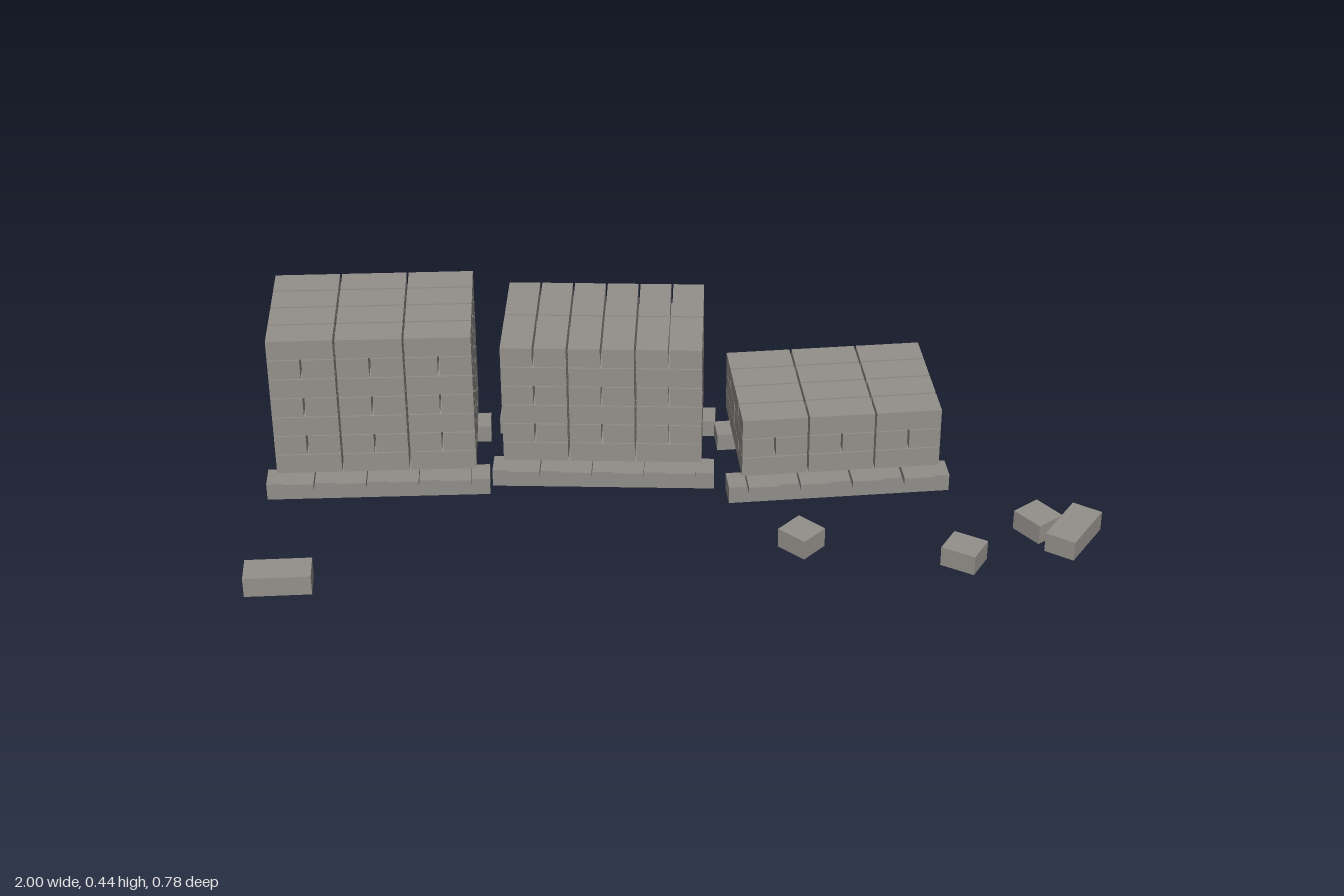
import * as THREE from 'three';

const brickMat = new THREE.MeshStandardMaterial({ color: 0x94908b });
brickMat.name = 'warm grey brick';
const palletMat = new THREE.MeshStandardMaterial({ color: 0x918e8a });
palletMat.name = 'grey weathered wood';

// brick size and the spacing of the bond
const L = 0.155, W = 0.075, H = 0.05;
const PITCH_L = 0.16, PITCH_W = 0.08, PITCH_Y = 0.0523, STACK_Y = 0.081;

function box(parent, name, mat, [w, h, d], [x, y, z], rotY = 0) {
  const mesh = new THREE.Mesh(new THREE.BoxGeometry(w, h, d), mat);
  mesh.name = name;
  mesh.position.set(x, y, z);
  mesh.rotation.y = rotY;
  parent.add(mesh);
}

// two runners with four cross planks
function makePallet() {
  const pallet = new THREE.Group();
  pallet.name = 'pallet';
  for (const s of [-1, 1]) {
    box(pallet, 'runner', palletMat, [0.535, 0.044, 0.064], [0, 0.022, s * 0.117]);
  }
  for (let i = 0; i < 4; i++) {
    box(pallet, 'plank', palletMat, [0.073, 0.017, 0.37], [(i - 1.5) * 0.125, 0.056, 0]);
  }
  return pallet;
}

// courses alternate between bricks laid lengthwise and crosswise
function makeBricks(courses) {
  const bricks = new THREE.Group();
  bricks.name = 'brickStack';
  for (let c = 0; c < courses; c++) {
    const along = c % 2 === 0;
    const cols = along ? 3 : 6, rows = along ? 4 : 2;
    const px = along ? PITCH_L : PITCH_W, pz = along ? PITCH_W : PITCH_L;
    const size = along ? [L, H, W] : [W, H, L];
    for (let i = 0; i < cols; i++) {
      for (let j = 0; j < rows; j++) {
        box(bricks, 'brick', brickMat, size, [
          (i - (cols - 1) / 2) * px,
          STACK_Y + c * PITCH_Y + H / 2,
          (j - (rows - 1) / 2) * pz,
        ]);
      }
    }
  }
  return bricks;
}

export function createModel() {
  const model = new THREE.Group();
  model.name = 'brickPallets';

  // x, z, turn, number of courses
  const stacks = [
    [-0.72, -0.168, 0.02, 7],
    [-0.17, -0.196, -0.05, 6],
    [0.378, -0.14, 0.08, 3],
  ];
  for (const [x, z, turn, courses] of stacks) {
    const stack = new THREE.Group();
    stack.name = 'loadedPallet';
    stack.position.set(x, 0, z);
    stack.rotation.y = turn;
    stack.add(makePallet(), makeBricks(courses));
    model.add(stack);
  }

  // loose whole and half bricks on the ground: x, z, turn, length
  const loose = [
    [-0.922, 0.343, 0.04, L],
    [0.924, 0.207, 0.99, 0.15],
    [0.285, 0.215, -0.76, 0.08],
    [0.658, 0.288, -0.53, 0.085],
    [0.846, 0.165, -0.92, 0.085],
  ];
  for (const [x, z, turn, len] of loose) {
    box(model, len < 0.1 ? 'looseHalfBrick' : 'looseBrick', brickMat, [len, H, W], [x, H / 2 + 0.001, z], turn);
  }
  return model;
}
